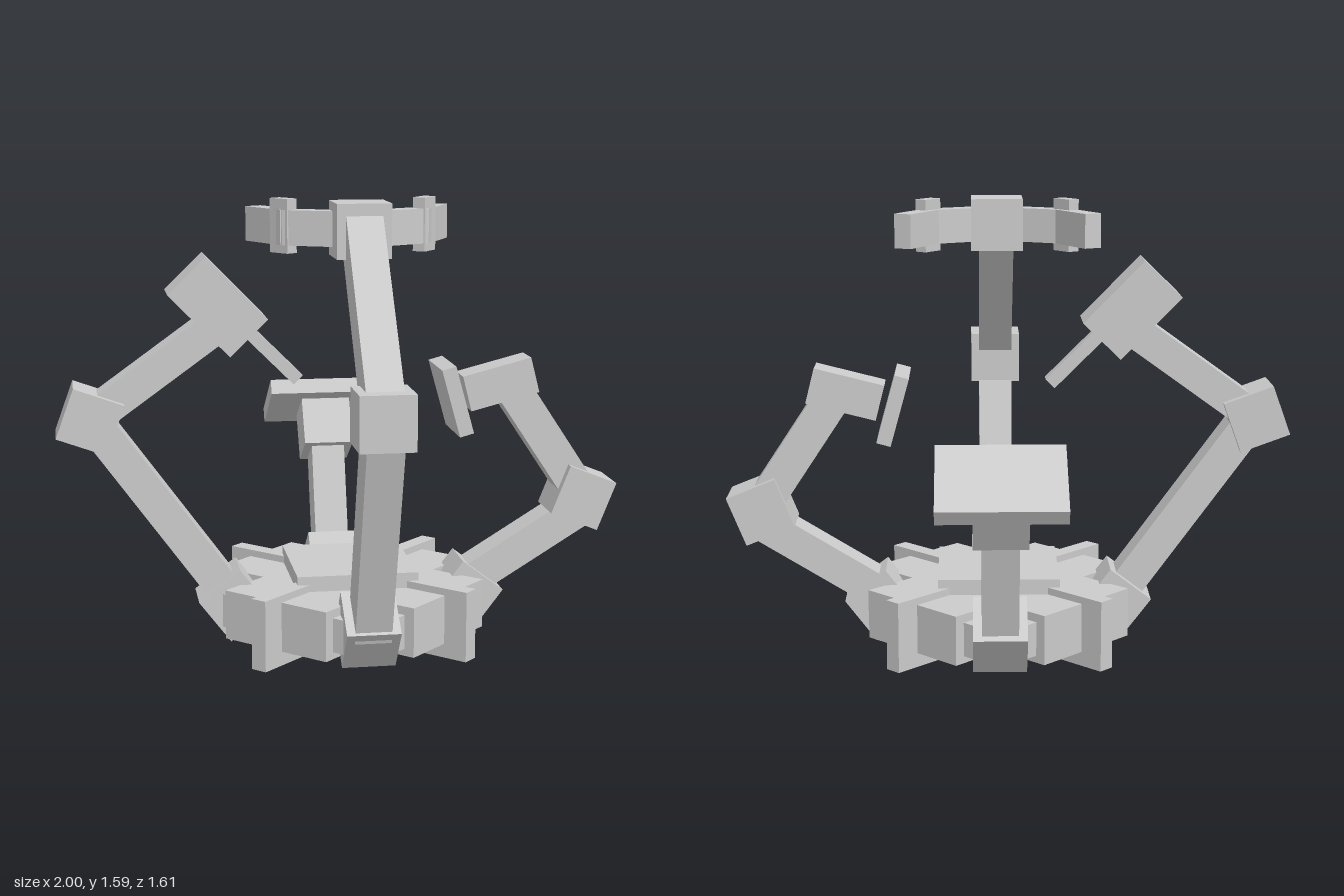
import * as THREE from 'three';

const material = new THREE.MeshStandardMaterial({ color: 0xcccccc, flatShading: true });

function box(parent, name, size, pos, rot = [0, 0, 0]) {
  const mesh = new THREE.Mesh(new THREE.BoxGeometry(...size), material);
  mesh.name = name;
  mesh.position.set(...pos);
  mesh.rotation.set(...rot);
  parent.add(mesh);
  return mesh;
}

// Straight bar between two points of the arm's upright plane
function bar(parent, name, [x1, y1], [x2, y2], thick, width) {
  const dx = x2 - x1, dy = y2 - y1;
  return box(parent, name, [Math.hypot(dx, dy), thick, width],
    [(x1 + x2) / 2, (y1 + y2) / 2, 0], [0, 0, Math.atan2(dy, dx)]);
}

// Level bar between two points seen from above (x, z)
function levelBar(parent, name, [x1, z1], [x2, z2], y, height, thick) {
  const dx = x2 - x1, dz = z2 - z1;
  return box(parent, name, [Math.hypot(dx, dz), height, thick],
    [(x1 + x2) / 2, y, (z1 + z2) / 2], [0, -Math.atan2(dz, dx), 0]);
}

const CUBE = 0.185;
const cube = (parent, name, x, y, tilt) =>
  box(parent, name, [CUBE, CUBE, CUBE], [x, y, 0], [0, 0, tilt]);

// Arm group: local +x points outward, with the tilted shoulder cube at its root
function arm(parent, name, angle) {
  const g = new THREE.Group();
  g.name = name;
  g.rotation.y = angle;
  parent.add(g);
  cube(g, 'shoulder', 0.42, 0.148, -0.65);
  return g;
}

export function createModel() {
  const root = new THREE.Group();
  root.name = 'fourArmedMachine';
  const body = new THREE.Group();
  body.name = 'body';
  body.position.set(0.03, 0, 0.017);
  root.add(body);

  // Base: crossed diagonal blocks and ribs, with a plate on top
  const base = new THREE.Group();
  base.name = 'base';
  body.add(base);
  for (const a of [Math.PI / 4, -Math.PI / 4]) {
    box(base, 'baseRib', [1.045, 0.25, 0.06], [0, 0.125, 0], [0, a, 0]);
    box(base, 'baseBlock', [0.866, 0.175, 0.44], [0, 0.1375, 0], [0, a, 0]);
    box(base, 'baseInnerBlock', [0.79, 0.12, 0.53], [0, 0.135, 0], [0, a, 0]);
  }
  box(base, 'baseCore', [0.52, 0.17, 0.52], [0, 0.115, 0]);
  box(base, 'topPlate', [0.43, 0.06, 0.43], [0, 0.25, 0]);

  // Front arm with a two-fingered claw
  const front = arm(body, 'clawArm', -Math.PI / 2);
  bar(front, 'lowerArm', [0.46, 0.15], [0.7, 0.9], 0.14, 0.125);
  cube(front, 'elbow', 0.7, 0.93, 0);
  bar(front, 'upperArm', [0.7, 0.95], [0.275, 1.5], 0.135, 0.125);
  cube(front, 'wrist', 0.235, 1.49, 0);
  for (const s of [-1, 1]) {
    levelBar(front, 'fingerBase', [0.195, s * 0.07], [0.113, s * 0.24], 1.49, 0.12, 0.065);
    box(front, 'fingerKnuckle', [0.085, 0.185, 0.045], [0.108, 1.495, s * 0.245], [0, s * 0.65, 0]);
    levelBar(front, 'fingerTip', [0.118, s * 0.23], [-0.065, s * 0.33], 1.49, 0.12, 0.065);
  }

  // Back arm with a wide tray
  const back = arm(body, 'trayArm', Math.PI / 2);
  bar(back, 'lowerArm', [0.45, 0.14], [0.605, 0.65], 0.135, 0.125);
  cube(back, 'wrist', 0.615, 0.638, -0.55);
  box(back, 'tray', [0.305, 0.058, 0.43], [0.677, 0.74, 0], [0, 0, -0.55]);

  // Right arm with a block head and a thin rod
  const right = arm(body, 'rodArm', Math.PI);
  bar(right, 'lowerArm', [0.42, 0.15], [0.91, 0.826], 0.12, 0.12);
  cube(right, 'elbow', 0.915, 0.826, 0.35);
  bar(right, 'upperArm', [0.9, 0.835], [0.49, 1.13], 0.115, 0.12);
  box(right, 'head', [0.305, CUBE, CUBE], [0.47, 1.215, 0], [0, 0, 0.8]);
  bar(right, 'rod', [0.365, 1.125], [0.185, 0.945], 0.045, 0.06);

  // Left arm with a square pad facing inward
  const left = arm(body, 'padArm', 0);
  bar(left, 'lowerArm', [0.39, 0.165], [0.83, 0.435], 0.12, 0.12);
  cube(left, 'elbow', 0.845, 0.495, -0.38);
  bar(left, 'upperArm', [0.845, 0.505], [0.59, 0.89], 0.125, 0.12);
  box(left, 'head', [0.255, 0.13, 0.12], [0.54, 0.915, 0], [0, 0, 0.25]);
  box(left, 'pad', [0.052, 0.25, 0.245], [0.37, 0.867, 0], [0, 0, 0.27]);

  return root;
}
